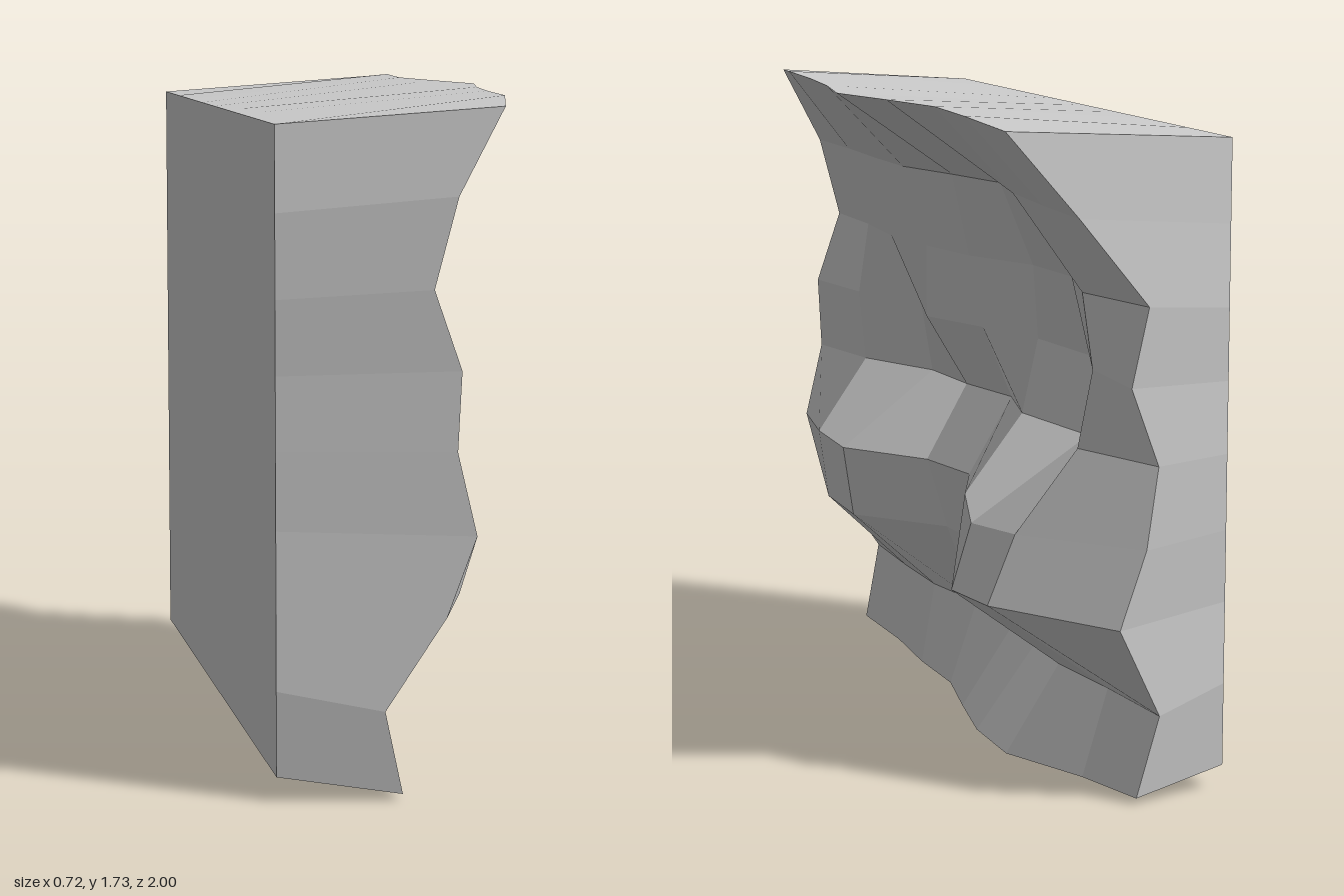
import * as THREE from 'three';

// Depth (x) of the rough face: rows run from bottom to top, columns from z = +1 to z = -1
const DEPTH = [
  [-0.05, -0.07, -0.05, -0.05, 0.00, 0.045, 0.05, -0.06, -0.10],
  [-0.10, -0.09, -0.09, -0.13, -0.16, -0.13, -0.10, -0.13, -0.15],
  [0.055, 0.15, 0.16, -0.04, -0.05, 0.03, 0.205, 0.205, -0.04],
  [0.13, 0.178, 0.19, 0.02, -0.02, 0.08, 0.15, 0.13, -0.11],
  [0.08, 0.03, -0.085, -0.10, -0.145, -0.085, -0.18, -0.04, -0.14],
  [0.09, 0.05, -0.05, 0.02, -0.06, -0.13, -0.22, -0.08, -0.065],
  [0.02, 0.02, 0.04, 0.02, -0.02, -0.115, -0.13, -0.05, -0.11],
  [0.08, 0.08, 0.09, 0.09, 0.03, -0.02, 0.035, 0.06, 0.077],
  [0.20, 0.26, 0.28, 0.31, 0.358, 0.30, 0.25, 0.27, 0.26],
];
const ROW_Y = [0.008, 0.24, 0.47, 0.67, 0.88, 1.08, 1.28, 1.505, 1.735];
const COL_Z = [1, 0.73, 0.47, 0.23, 0, -0.23, -0.46, -0.72, -1];
const N = 8;
const BACK_X = -0.36;

// Rough-face vertex, with the outline corners slightly drawn in
function facePoint(j, i) {
  let y = ROW_Y[j], z = COL_Z[i];
  const endRow = j === 0 || j === N, endCol = i === 0 || i === N;
  if (endRow && endCol) {
    z *= 0.975;
    y += j === 0 ? 0.015 : -0.015;
  }
  if (i === 6 && j > 2 && j < 6) y -= 0.025;
  if ((i === 5 || i === 7) && j === 2) y += 0.02;
  return new THREE.Vector3(DEPTH[j][i], y, z);
}

// Matching point on the flat back rectangle
function backPoint(j, i) {
  const y = THREE.MathUtils.mapLinear(ROW_Y[j], ROW_Y[0], ROW_Y[N], 0.07, 1.68);
  return new THREE.Vector3(BACK_X, y, COL_Z[i] * 0.93);
}

// Mesh of four-sided facets, each shaded evenly with one normal
function quadMesh(name, quads, material) {
  const pos = [], nor = [];
  for (const [a, b, c, d] of quads) {
    const normal = c.clone().sub(a).cross(d.clone().sub(b)).normalize();
    for (const p of [a, b, d, b, c, d]) {
      pos.push(p.x, p.y, p.z);
      nor.push(normal.x, normal.y, normal.z);
    }
  }
  const geometry = new THREE.BufferGeometry();
  geometry.setAttribute('position', new THREE.Float32BufferAttribute(pos, 3));
  geometry.setAttribute('normal', new THREE.Float32BufferAttribute(nor, 3));
  const mesh = new THREE.Mesh(geometry, material);
  mesh.name = name;
  return mesh;
}

export function createModel() {
  const group = new THREE.Group();
  group.name = 'rockWallBlock';
  const material = new THREE.MeshStandardMaterial({ color: 0xcccccc });

  // Rough rock face
  const face = [];
  for (let j = 0; j < N; j++) {
    for (let i = 0; i < N; i++) {
      face.push([facePoint(j, i), facePoint(j, i + 1), facePoint(j + 1, i + 1), facePoint(j + 1, i)]);
    }
  }
  group.add(quadMesh('rockFace', face, material));

  // Bottom, two ends and top: strips from the face outline to the back
  const outline = [];
  for (let k = 0; k < N; k++) outline.push([0, k]);
  for (let k = 0; k < N; k++) outline.push([k, N]);
  for (let k = N; k > 0; k--) outline.push([N, k]);
  for (let k = N; k > 0; k--) outline.push([k, 0]);
  ['bottom', 'rearEnd', 'top', 'frontEnd'].forEach((name, s) => {
    const strip = [];
    for (let k = s * N; k < (s + 1) * N; k++) {
      const a = outline[k], b = outline[(k + 1) % outline.length];
      strip.push([facePoint(...b), facePoint(...a), backPoint(...a), backPoint(...b)]);
    }
    group.add(quadMesh(name, strip, material));
  });

  // Flat back
  const back = [[backPoint(0, 0), backPoint(N, 0), backPoint(N, N), backPoint(0, N)]];
  group.add(quadMesh('flatBack', back, material));

  return group;
}
